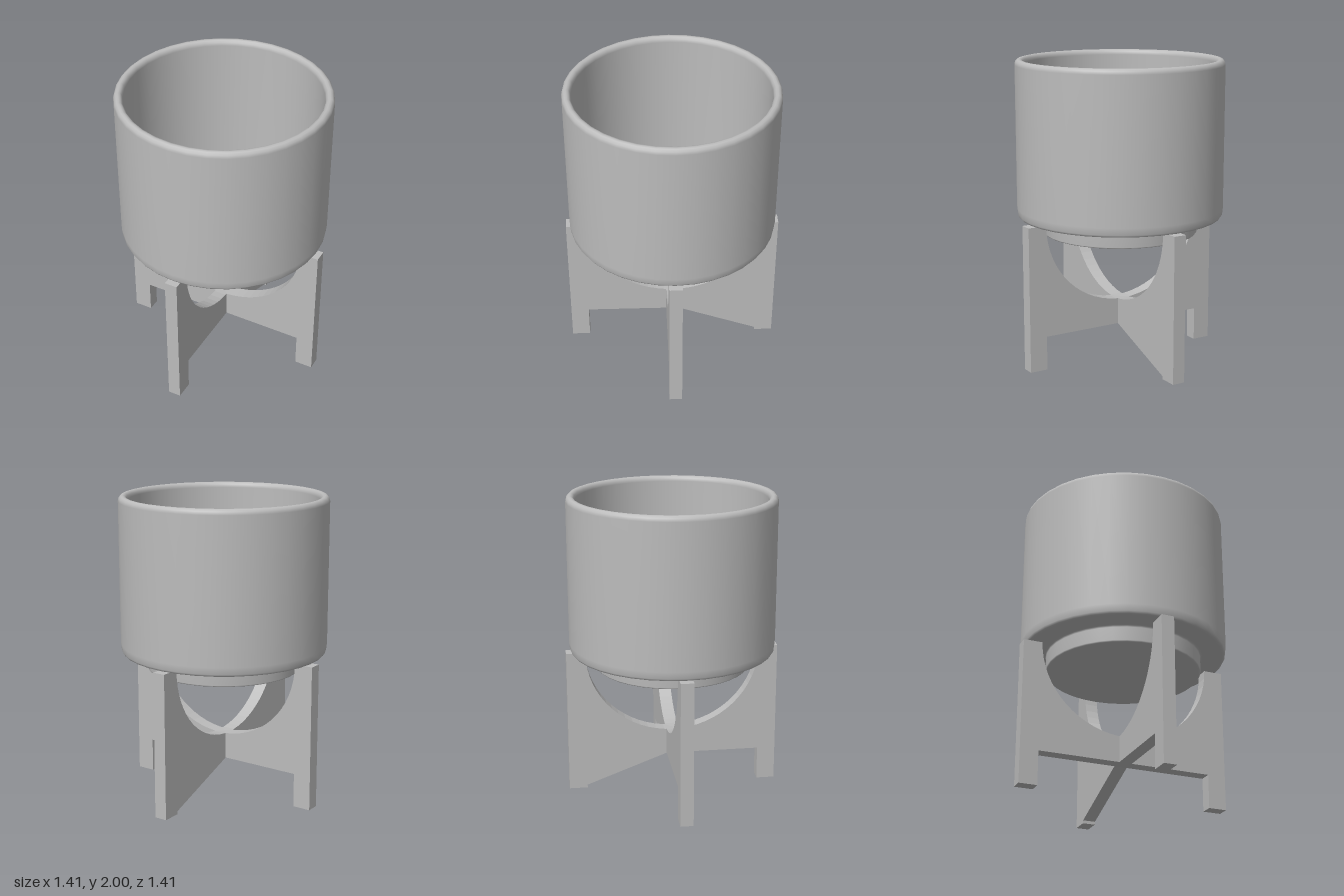
import * as THREE from 'three';

const grey = new THREE.MeshStandardMaterial({ color: 0xbcbcbc });
grey.name = 'matte grey';

const TOP = 0.965, REACH = 0.706, INNER = 0.585, WEB = 0.225, THICK = 0.085;

// Flat cross arm: two uprights joined by a web with a scooped top.
// slopedEnd fills the notch beside the leg on the -x end.
function armGeometry(slopedEnd) {
  const s = new THREE.Shape();
  s.moveTo(-REACH, 0);
  s.lineTo(-INNER, 0);
  if (slopedEnd) {
    s.lineTo(-INNER, 0.02);
    s.lineTo(-0.04, WEB);
  } else {
    s.lineTo(-INNER, WEB);
  }
  s.lineTo(INNER, WEB);
  s.lineTo(INNER, 0);
  s.lineTo(REACH, 0);
  s.lineTo(REACH, TOP);
  s.lineTo(0.58, TOP);
  s.absellipse(0, TOP, 0.58, 0.567, 0, Math.PI, true);
  s.lineTo(-REACH, TOP);
  s.closePath();
  const g = new THREE.ExtrudeGeometry(s, { depth: THICK, bevelEnabled: false, curveSegments: 16 });
  return g.translate(0, 0, -THICK / 2);
}

function addMesh(parent, geometry, name) {
  const mesh = new THREE.Mesh(geometry, grey);
  mesh.name = name;
  parent.add(mesh);
  return mesh;
}

export function createModel() {
  const model = new THREE.Group();
  model.name = 'planterOnStand';

  // Pot: stepped foot, straight wall, rounded rim, inside wall and floor
  const profile = [
    [0, 0.855], [0.49, 0.855], [0.505, 0.857], [0.511, 0.865], [0.511, 0.955], [0.515, 0.967],
    [0.53, 0.968], [0.65, 0.968], [0.668, 0.971], [0.677, 0.985], [0.682, 1.03],
    [0.682, 1.965], [0.677, 1.985], [0.665, 1.997], [0.652, 2], [0.639, 1.997],
    [0.628, 1.985], [0.623, 1.965], [0.623, 1.08], [0.612, 1.045], [0.58, 1.03], [0, 1.03],
  ].map(([r, y]) => new THREE.Vector2(r, y));
  addMesh(model, new THREE.LatheGeometry(profile, 36), 'pot');

  // Stand: two crossing arms
  const stand = new THREE.Group();
  stand.name = 'stand';
  addMesh(stand, armGeometry(false), 'sideToSideArm');
  addMesh(stand, armGeometry(true), 'frontToBackArm').rotation.y = -Math.PI / 2;
  model.add(stand);

  return model;
}
